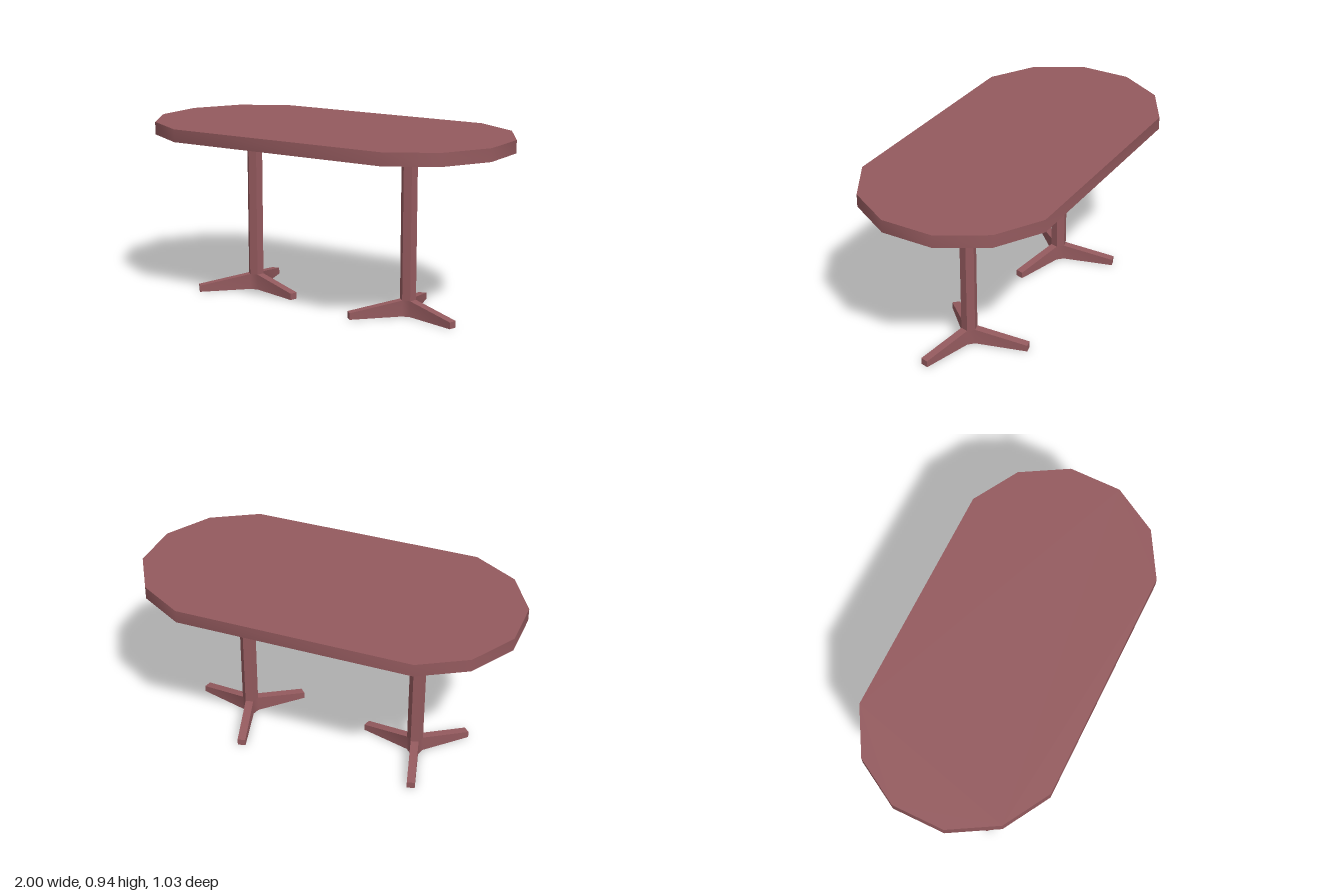
import * as THREE from 'three';
import { toCreasedNormals } from 'three/addons/utils/BufferGeometryUtils.js';

const TOP_Y = 0.945, UNDER_Y = 0.878;   // table top slab
const HUB_Y = 0.085, TOE_Y = 0.035;     // foot heights at column and tips
const COLUMN_R = 0.0425, FOOT_R = 0.315;
const TURN = THREE.MathUtils.degToRad(-15);

// Creases at full precision: work at 100x, since vertices are matched to 0.01
function crease(geometry) {
  return toCreasedNormals(geometry.scale(100, 100, 100), Math.PI / 5).scale(0.01, 0.01, 0.01);
}

// Extrudes an outline of [x, z] points upwards from y = 0
function slab(points, height) {
  const shape = new THREE.Shape(points.map(([x, z]) => new THREE.Vector2(x, -z)));
  return new THREE.ExtrudeGeometry(shape, { depth: height, bevelEnabled: false }).rotateX(-Math.PI / 2);
}

// Oblong top with faceted round ends
function tableTopGeometry() {
  const corner = [[0.62, 0.517], [0.86, 0.378], [1, 0.138]];
  const mirror = (sx, sz) => corner.map(([x, z]) => [x * sx, z * sz]);
  const outline = [
    ...mirror(1, 1), ...mirror(1, -1).reverse(),
    ...mirror(-1, -1), ...mirror(-1, 1).reverse(),
  ];
  return crease(slab(outline, TOP_Y - UNDER_Y).translate(0, UNDER_Y, 0));
}

// Three toes growing from alternate sides of a hexagonal hub, sloping down outwards
function footGeometry() {
  const outline = [];
  for (let i = 0; i < 3; i++) {
    const a = TURN + Math.PI / 2 + (i * Math.PI * 2) / 3;
    const half = COLUMN_R / 2, hub = COLUMN_R * Math.cos(Math.PI / 6);
    for (const [r, s] of [[hub, -half], [FOOT_R, -half], [FOOT_R, half], [hub, half]]) {
      outline.push([r * Math.sin(a) + s * Math.cos(a), r * Math.cos(a) - s * Math.sin(a)]);
    }
  }
  const geometry = slab(outline, HUB_Y);
  const p = geometry.attributes.position;
  for (let i = 0; i < p.count; i++) {
    const high = p.getY(i) > HUB_Y / 2;
    const tip = Math.hypot(p.getX(i), p.getZ(i)) > 0.1;
    p.setY(i, high ? (tip ? TOE_Y : HUB_Y) : 0);
  }
  return crease(geometry);
}

// Hexagonal post from the hub to the underside of the top
function columnGeometry() {
  const h = UNDER_Y - HUB_Y;
  const geometry = new THREE.CylinderGeometry(COLUMN_R, COLUMN_R, h, 6, 1, true, TURN);
  return crease(geometry.translate(0, HUB_Y + h / 2, 0));
}

export function createModel() {
  const wood = new THREE.MeshStandardMaterial({ color: 0x945a5e });
  wood.name = 'reddish brown';

  const table = new THREE.Group();
  table.name = 'table';
  const add = (parent, name, geometry) => {
    const mesh = new THREE.Mesh(geometry, wood);
    mesh.name = name;
    parent.add(mesh);
  };

  add(table, 'tableTop', tableTopGeometry());

  // Two identical pedestals
  const column = columnGeometry(), foot = footGeometry();
  for (const [name, x] of [['rightPedestal', -0.484], ['leftPedestal', 0.478]]) {
    const pedestal = new THREE.Group();
    pedestal.name = name;
    pedestal.position.x = x;
    add(pedestal, 'column', column);
    add(pedestal, 'foot', foot);
    table.add(pedestal);
  }
  return table;
}
